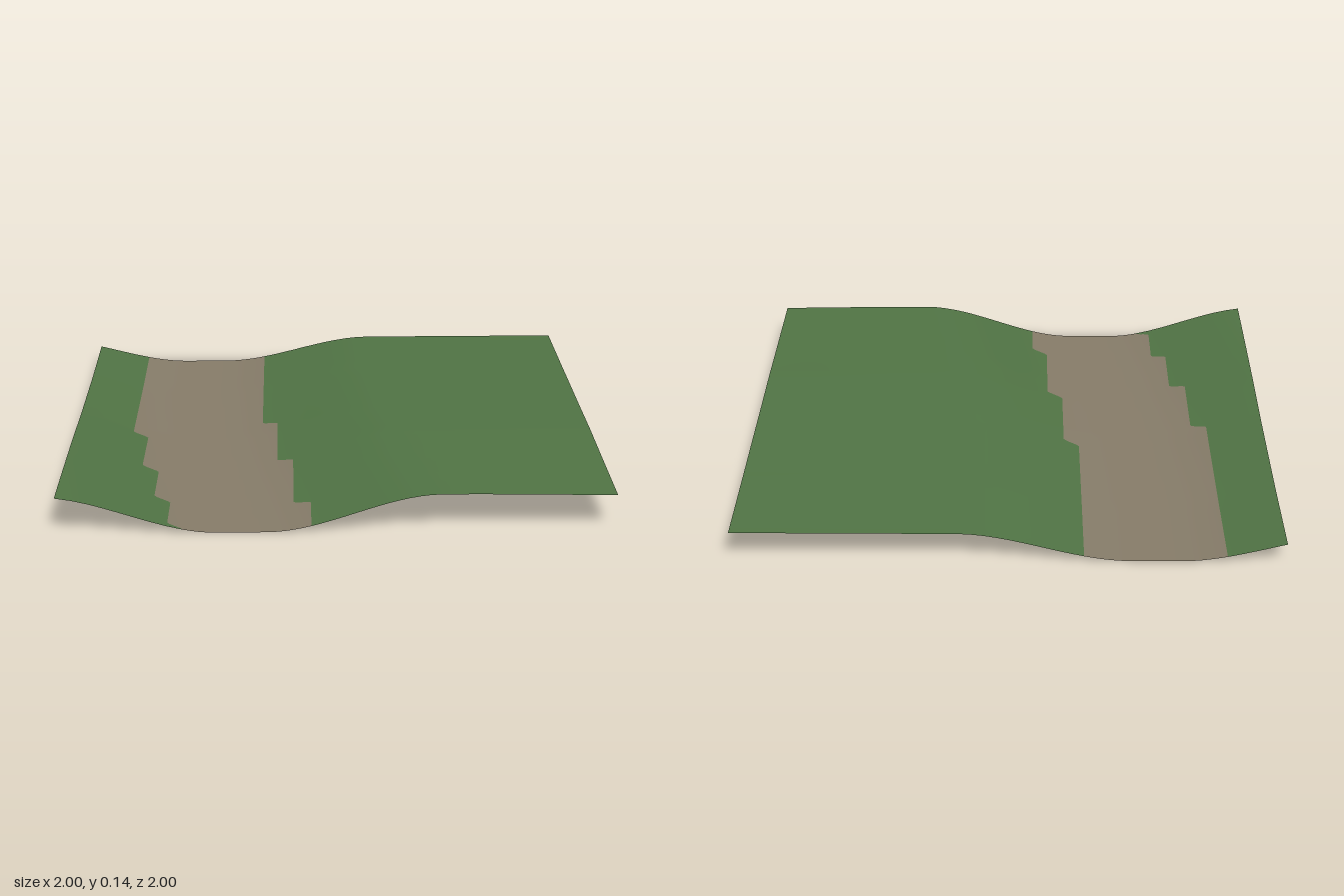
import * as THREE from 'three';

const { lerp, smoothstep } = THREE.MathUtils;

// Stepped bank lines: start x, then [z, new x] for each step
const leftBank = { x: -0.788, steps: [[0.04, -0.728], [0.42, -0.665], [0.73, -0.605], [0.98, -0.548]] };
const rightBank = { x: -0.273, steps: [[-0.1, -0.213], [0.335, -0.152], [0.775, -0.09]] };

function bankX(bank, z) {
  let x = bank.x;
  for (const [at, next] of bank.steps) x = lerp(x, next, smoothstep(z, at - 0.02, at + 0.02));
  return x;
}

// Linear interpolation through [z, value] points
function along(points, z) {
  for (let i = 1; i < points.length; i++) {
    const [z0, a] = points[i - 1], [z1, b] = points[i];
    if (z <= z1) return lerp(a, b, (z - z0) / (z1 - z0));
  }
  return points[points.length - 1][1];
}
const valleyCentre = [[-2, -0.53], [-0.6, -0.53], [0, -0.49], [0.5, -0.42], [1, -0.34], [2, -0.2]];
const plateauHeight = [[-2, 0.1], [-1, 0.108], [-0.5, 0.115], [0, 0.127], [0.3, 0.136], [1, 0.139], [2, 0.14]];

// Terrain height: a smooth valley between two gentle banks
function height(x, z) {
  const d = Math.abs(x - along(valleyCentre, z));
  const plateau = along(plateauHeight, z) - 0.008 * smoothstep(x, 0.4, 1.1) * smoothstep(z, -0.6, 0.6);
  return plateau * smoothstep(d, 0.09, 0.72);
}

// Rows along z: evenly spaced, with extra rows at each bank step
const rows = [];
for (let i = 0; i <= 40; i++) rows.push(-1 + i / 20);
for (const [at] of [...leftBank.steps, ...rightBank.steps]) {
  for (const o of [-0.02, -0.011, -0.004, 0.004, 0.011, 0.02]) rows.push(Math.min(1, at + o));
}
const zs = [...new Set(rows.map((z) => Math.round(z * 1000) / 1000))].sort((a, b) => a - b);

// One strip of ground between two lines running along z
function strip(name, from, to, columns, material) {
  const geometry = new THREE.PlaneGeometry(2, 2, columns, zs.length - 1).rotateX(-Math.PI / 2);
  const { position, normal } = geometry.attributes;
  const n = new THREE.Vector3(), e = 0.03;
  for (let i = 0; i < position.count; i++) {
    const z = zs[Math.floor(i / (columns + 1))];
    const x = lerp(from(z), to(z), (i % (columns + 1)) / columns);
    position.setXYZ(i, x, height(x, z), z);
    // Normals follow the slope so the strips shade as one sheet
    n.set(height(x - e, z) - height(x + e, z), 2 * e, height(x, z - e) - height(x, z + e)).normalize();
    normal.setXYZ(i, n.x, n.y, n.z);
  }
  const mesh = new THREE.Mesh(geometry, material);
  mesh.name = name;
  return mesh;
}

export function createModel() {
  const grass = new THREE.MeshStandardMaterial({ color: 0x507344, side: THREE.DoubleSide });
  grass.name = 'grass green';
  const earth = new THREE.MeshStandardMaterial({ color: 0x857b68, side: THREE.DoubleSide });
  earth.name = 'earth brown';

  const left = (z) => bankX(leftBank, z);
  const right = (z) => bankX(rightBank, z);

  const group = new THREE.Group();
  group.name = 'valleyTerrain';
  group.add(
    strip('narrowGrassBank', () => -1, left, 8, grass),
    strip('valleyBed', left, right, 16, earth),
    strip('wideGrassBank', right, () => 1, 28, grass),
  );
  return group;
}
